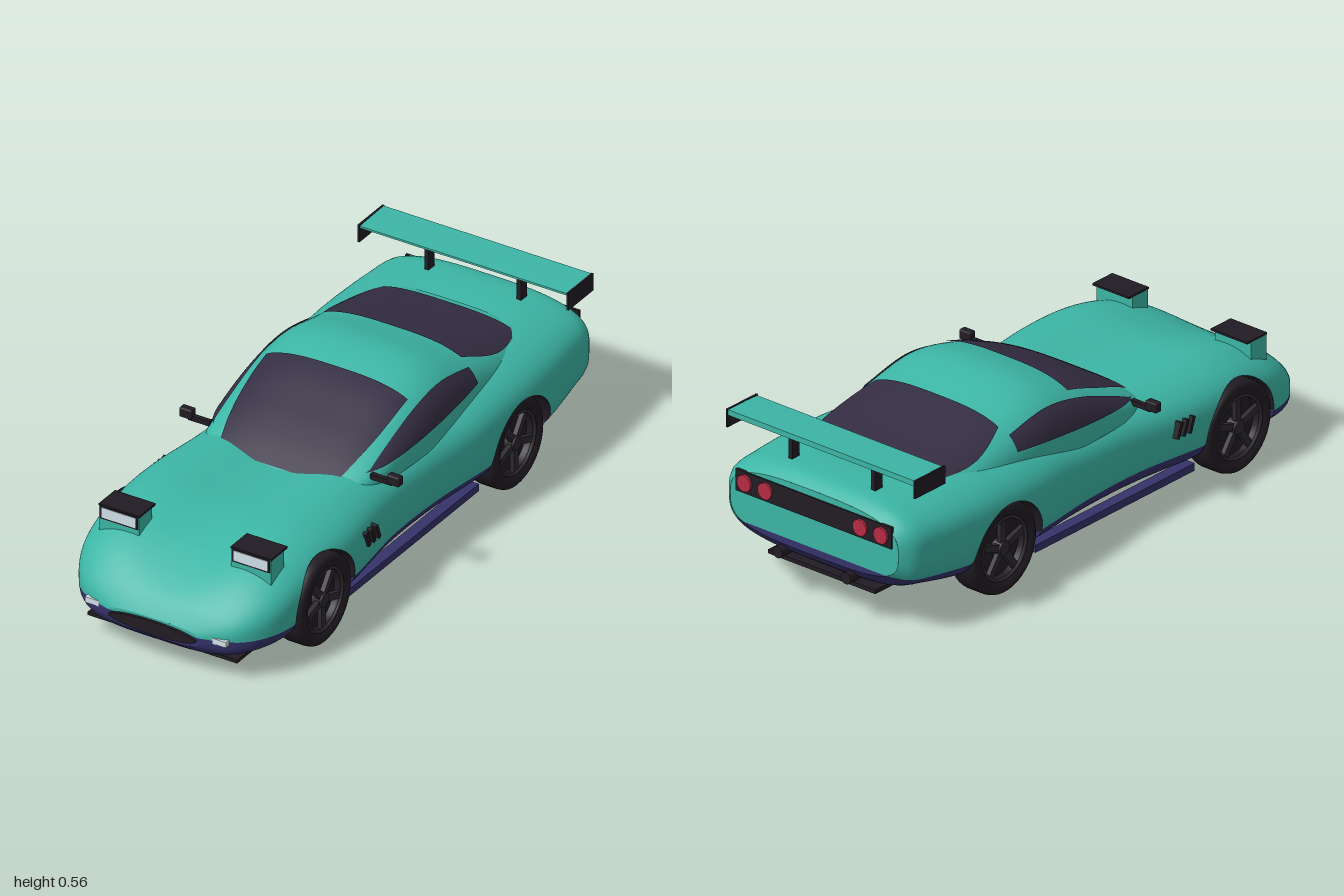
import * as THREE from 'three';
import { RoundedBoxGeometry } from 'three/addons/geometries/RoundedBoxGeometry.js';

const paint = (color) => new THREE.MeshStandardMaterial({ color, side: THREE.DoubleSide });
const TEAL = paint(0x3cb5a5), NAVY = paint(0x35326a), GLASS = paint(0x342d42), BLACK = paint(0x211c23);
const RIM = paint(0x2d2930), RED = paint(0xb82c42), LENS = paint(0xd2e2ea);

// Body stations: z, half width, bottom, widest height, top, paint split, dip along the centre line
const BODY = [
  [-0.985, 0.345, 0.18, 0.29, 0.405, 0.205, 0], [-0.95, 0.38, 0.14, 0.285, 0.43, 0.198, 0],
  [-0.85, 0.395, 0.11, 0.28, 0.437, 0.183, 0], [-0.7, 0.408, 0.078, 0.27, 0.44, 0.17, 0.015],
  [-0.55, 0.412, 0.065, 0.26, 0.44, 0.165, 0.015], [-0.35, 0.402, 0.065, 0.25, 0.425, 0.162, 0.02],
  [-0.1, 0.368, 0.065, 0.23, 0.395, 0.16, 0.03], [0.15, 0.362, 0.065, 0.22, 0.387, 0.16, 0.035],
  [0.42, 0.392, 0.065, 0.22, 0.388, 0.158, 0.035], [0.6, 0.395, 0.065, 0.21, 0.384, 0.155, 0.035],
  [0.75, 0.385, 0.065, 0.19, 0.352, 0.15, 0.035], [0.85, 0.36, 0.065, 0.17, 0.305, 0.147, 0.028],
  [0.93, 0.305, 0.07, 0.15, 0.242, 0.145, 0.01], [0.97, 0.24, 0.08, 0.14, 0.197, 0.145, 0],
  [0.99, 0.17, 0.1, 0.135, 0.165, 0.145, 0],
];
// Cabin stations: z, half width, top
const CABIN = [
  [-0.75, 0.3, 0.437], [-0.6, 0.32, 0.468], [-0.4, 0.33, 0.518], [-0.22, 0.335, 0.558], [-0.06, 0.335, 0.526],
  [0.1, 0.325, 0.457], [0.2, 0.305, 0.405], [0.28, 0.26, 0.356], [0.31, 0.22, 0.335],
];
const CABIN_BASE = 0.33, UP = 3, LOW = 3.4;
const WHEEL_Z = [0.597, -0.523], ARCH_Y = 0.152, ARCH_R = 0.166, WELL_X = 0.27;

// Smooth interpolation of a station table
function station(table, z) {
  let i = 0;
  while (i < table.length - 2 && z > table[i + 1][0]) i++;
  const a = table[i], b = table[i + 1], h = b[0] - a[0];
  const p = table[Math.max(i - 1, 0)], q = table[Math.min(i + 2, table.length - 1)];
  const s = THREE.MathUtils.clamp((z - a[0]) / h, 0, 1), s2 = s * s, s3 = s2 * s;
  return a.map((v, k) => {
    const m0 = (b[k] - p[k]) / (b[0] - p[0]) * h, m1 = (q[k] - v) / (q[0] - a[0]) * h;
    return (2 * s3 - 3 * s2 + 1) * v + (s3 - 2 * s2 + s) * m0 + (3 * s2 - 2 * s3) * b[k] + (s3 - s2) * m1;
  });
}

// Grid surface: fn(u, v) gives [x, y, z], u runs through a list and v from 0 to 1
function patch(us, nv, fn) {
  const pos = [], idx = [];
  us.forEach((u, i) => {
    for (let j = 0; j <= nv; j++) {
      pos.push(...fn(u, j / nv));
      if (i && j) {
        const d = i * (nv + 1) + j, c = d - 1, b = d - nv - 1, a = b - 1;
        idx.push(a, c, b, b, c, d);
      }
    }
  });
  const g = new THREE.BufferGeometry();
  g.setAttribute('position', new THREE.Float32BufferAttribute(pos, 3));
  g.setIndex(idx);
  g.computeVertexNormals();
  return g;
}
const range = (a, b, n) => Array.from({ length: n + 1 }, (_, i) => a + (b - a) * i / n);

// Point on the body section at angle t
function bodyPoint(z, t) {
  const [, w, bot, mid, top, , dip] = station(BODY, z), c = Math.cos(t), s = Math.sin(t);
  const n = s > 0 ? UP : LOW;
  const x = Math.sign(c) * w * Math.abs(c) ** (2 / n);
  const k = Math.max(0, 1 - (x / (0.7 * w)) ** 2);
  const y = s > 0 ? mid + (top - mid) * s ** (2 / n) - dip * k * k * s : mid - (mid - bot) * Math.abs(s) ** (2 / n);
  return [x, y, z];
}
function angleAtY(z, y) {
  const [, , bot, mid, top] = station(BODY, z);
  const f = y > mid ? (y - mid) / (top - mid) : (mid - y) / (mid - bot);
  return Math.sign(y - mid) * Math.asin(Math.min(1, f) ** ((y > mid ? UP : LOW) / 2));
}
function archY(z) {
  const d = Math.min(...WHEEL_Z.map((c) => Math.abs(z - c)));
  return d < ARCH_R ? ARCH_Y + Math.sqrt(ARCH_R ** 2 - d * d) : 0;
}
const splitY = (z) => station(BODY, z)[5];
function upperPoint(z, v) {
  const t = angleAtY(z, Math.max(splitY(z), archY(z)));
  return bodyPoint(z, t + (Math.PI - 2 * t) * v);
}
function lowerPoint(z, v) {
  const t = archY(z) ? -Math.acos((WELL_X / station(BODY, z)[1]) ** (LOW / 2)) : angleAtY(z, splitY(z));
  return bodyPoint(z, Math.PI - t + (Math.PI + 2 * t) * v);
}

// Cabin surface by x or by y
function cabinY(z, x) {
  const [, w, top] = station(CABIN, z);
  return CABIN_BASE + (top - CABIN_BASE) * Math.max(0, 1 - Math.abs(x / w) ** 3) ** (1 / 3);
}
function cabinX(z, y) {
  const [, w, top] = station(CABIN, z);
  return w * Math.max(0, 1 - ((y - CABIN_BASE) / (top - CABIN_BASE)) ** 3) ** (1 / 3);
}

function makeWheel() {
  const wheel = new THREE.Group();
  const part = (name, geo, mat, y = 0) => {
    const m = new THREE.Mesh(geo, mat);
    m.name = name;
    m.position.y = y;
    wheel.add(m);
    return m;
  };
  const profile = [[0.1, -0.05], [0.14, -0.053], [0.151, -0.045], [0.155, -0.03], [0.155, 0.03], [0.151, 0.045],
    [0.14, 0.053], [0.112, 0.05], [0.104, 0.03], [0.1, -0.05]].map(([r, y]) => new THREE.Vector2(r, y));
  part('tyre', new THREE.LatheGeometry(profile, 40), BLACK);
  part('rimBack', new THREE.CylinderGeometry(0.104, 0.104, 0.06, 32), BLACK, -0.015);
  part('rimRing', new THREE.TorusGeometry(0.105, 0.006, 8, 36).rotateX(Math.PI / 2), RIM, 0.044);
  part('hub', new THREE.CylinderGeometry(0.024, 0.03, 0.035, 20), RIM, 0.03);
  for (let i = 0; i < 5; i++) {
    const spoke = new THREE.BoxGeometry(0.09, 0.016, 0.024).translate(0.06, 0, 0);
    part('spoke', spoke, RIM, 0.034).rotation.y = i * Math.PI * 0.4;
  }
  wheel.rotation.z = -Math.PI / 2; // the outer side faces +x
  return wheel;
}

export function createModel() {
  const car = new THREE.Group();
  car.name = 'sportsCar';
  const add = (name, geo, mat, x = 0, y = 0, z = 0, parent = car) => {
    const m = new THREE.Mesh(geo, mat);
    m.name = name;
    m.position.set(x, y, z);
    parent.add(m);
    return m;
  };
  const box = (name, mat, w, h, d, x, y, z, parent) => add(name, new THREE.BoxGeometry(w, h, d), mat, x, y, z, parent);

  // Body shell, with extra stations around the wheel arches
  let zs = range(-0.985, 0.99, 90);
  for (const c of WHEEL_Z) {
    zs = zs.filter((z) => Math.abs(z - c) > ARCH_R + 0.002);
    zs.push(c - ARCH_R - 1e-4, c + ARCH_R + 1e-4);
    for (let i = 0; i <= 32; i++) zs.push(c - Math.cos(i / 32 * Math.PI) * (ARCH_R - 1e-4));
  }
  zs.sort((a, b) => a - b);
  add('upperBody', patch(zs, 64, upperPoint), TEAL);
  add('lowerBody', patch(zs, 48, lowerPoint), NAVY);
  for (const [name, z] of [['nose', 0.99], ['tail', -0.985]]) {
    const cap = (fn) => patch([0, 1], 48, (u, v) => {
      const [x, y] = fn(z, v);
      return [x * u, splitY(z) + (y - splitY(z)) * u, z];
    });
    add(name + 'UpperPanel', cap(upperPoint), TEAL);
    add(name + 'LowerPanel', cap(lowerPoint), NAVY);
  }

  // Cabin and glass
  add('cabin', patch(range(-0.75, 0.31, 60), 48, (z, v) => {
    const [, w, top] = station(CABIN, z), a = v * Math.PI, c = Math.cos(a);
    return [Math.sign(c) * w * Math.abs(c) ** (2 / 3), CABIN_BASE + (top - CABIN_BASE) * Math.sin(a) ** (2 / 3), z];
  }), TEAL);
  const glassOver = (name, z0, z1, half) => add(name, patch(range(z0, z1, 24), 32, (z, v) => {
    const x = (2 * v - 1) * half((z - z0) / (z1 - z0));
    return [x * 1.01, cabinY(z, x) + 0.004, z];
  }), GLASS);
  glassOver('windshield', -0.08, 0.285, (f) => 0.257 - 0.05 * f ** 2.5);
  glassOver('rearWindow', -0.72, -0.4, (f) => 0.25 + 0.035 * Math.sin(f * Math.PI));

  for (const s of [1, -1]) {
    const side = new THREE.Group();
    side.name = s > 0 ? 'leftSide' : 'rightSide';
    car.add(side);
    add('sideWindow', patch(range(-0.39, 0.2, 30), 10, (z, v) => {
      const lo = 0.392 - 0.07 * z, hi = Math.max(lo, cabinY(z, 0.283));
      const y = lo + (hi - lo) * v;
      return [s * (cabinX(z, y) + 0.004), y + 0.002, z];
    }), GLASS, 0, 0, 0, side);

    // Wheels and wheel wells
    for (const c of WHEEL_Z) {
      const wheel = makeWheel();
      wheel.name = c > 0 ? 'frontWheel' : 'rearWheel';
      wheel.position.set(s * 0.337, 0.155, c);
      if (s < 0) wheel.rotation.z = Math.PI / 2;
      side.add(wheel);
      add('wheelWell', patch(range(0, Math.PI, 32), 1, (a, v) => {
        const z = c + Math.cos(a) * (ARCH_R - 2e-4), y = ARCH_Y + Math.sin(a) * ARCH_R;
        return [s * (v ? WELL_X - 0.01 : bodyPoint(z, angleAtY(z, y))[0]), y, z];
      }), BLACK, 0, 0, 0, side);
      const wall = new THREE.CircleGeometry(ARCH_R, 32, 0, Math.PI).rotateY(Math.PI / 2);
      add('wellWall', wall, BLACK, s * (WELL_X - 0.01), ARCH_Y, c, side);
    }

    // Pop-up headlamps
    add('headlampHousing', new THREE.BoxGeometry(0.147, 0.12, 0.075), TEAL, s * 0.243, 0.32, 0.767, side);
    box('headlampLid', BLACK, 0.15, 0.007, 0.095, s * 0.243, 0.383, 0.758, side);
    box('headlampBezel', BLACK, 0.138, 0.046, 0.006, s * 0.243, 0.358, 0.804, side);
    box('headlampLens', LENS, 0.126, 0.036, 0.008, s * 0.243, 0.359, 0.805, side);
    box('foglamp', LENS, 0.06, 0.02, 0.06, s * 0.23, 0.144, 0.948, side);

    // Mirrors, vents and sills
    add('mirror', new RoundedBoxGeometry(0.046, 0.034, 0.028, 2, 0.005), BLACK, s * 0.382, 0.384, 0.188, side);
    box('mirrorArm', BLACK, 0.08, 0.018, 0.016, s * 0.335, 0.371, 0.188, side);
    for (let i = 0; i < 3; i++) {
      box('sideVent', BLACK, 0.024, 0.055, 0.013, s * 0.383, 0.257, 0.36 - i * 0.029, side).rotation.x = 0.35;
    }
    box('sideSkirt', NAVY, 0.04, 0.026, 0.76, s * 0.335, 0.077, 0.037, side);

    // Tail lamps, exhausts and wing mounts
    for (const x of [0.28, 0.195]) {
      add('tailLamp', new THREE.CylinderGeometry(0.028, 0.028, 0.012, 28).rotateX(Math.PI / 2), RED, s * x, 0.345, -0.992, side);
    }
    add('exhaust', new THREE.CylinderGeometry(0.02, 0.02, 0.1, 20).rotateX(Math.PI / 2), BLACK, s * 0.14, 0.152, -0.948, side);
    box('wingPost', BLACK, 0.016, 0.12, 0.034, s * 0.17, 0.475, -0.885, side);
    box('wingEndPlate', BLACK, 0.007, 0.062, 0.145, s * 0.385, 0.523, -0.884, side);
  }

  // Wing blade, tail strip, grille and aero plates
  const blade = new THREE.Shape([[0.07, 0.001], [0.03, -0.011], [-0.07, -0.008], [-0.07, 0.011], [0.02, 0.01], [0.07, 0.008]]
    .map(([z, y]) => new THREE.Vector2(-z, y)));
  const bladeGeo = new THREE.ExtrudeGeometry(blade, { depth: 0.765, bevelEnabled: false }).translate(0, 0, -0.3825).rotateY(Math.PI / 2);
  add('wingBlade', bladeGeo, TEAL, 0, 0.542, -0.884);
  box('tailLampStrip', BLACK, 0.64, 0.075, 0.01, 0, 0.345, -0.985);
  const grille = new THREE.CylinderGeometry(1, 1, 0.06, 40).rotateX(Math.PI / 2).scale(0.16, 0.024, 1);
  add('grille', grille, BLACK, 0, 0.134, 0.97);
  box('frontSplitter', BLACK, 0.55, 0.012, 0.13, 0, 0.068, 0.872);
  box('rearDiffuser', BLACK, 0.44, 0.014, 0.1, 0, 0.112, -0.9);
  return car;
}
